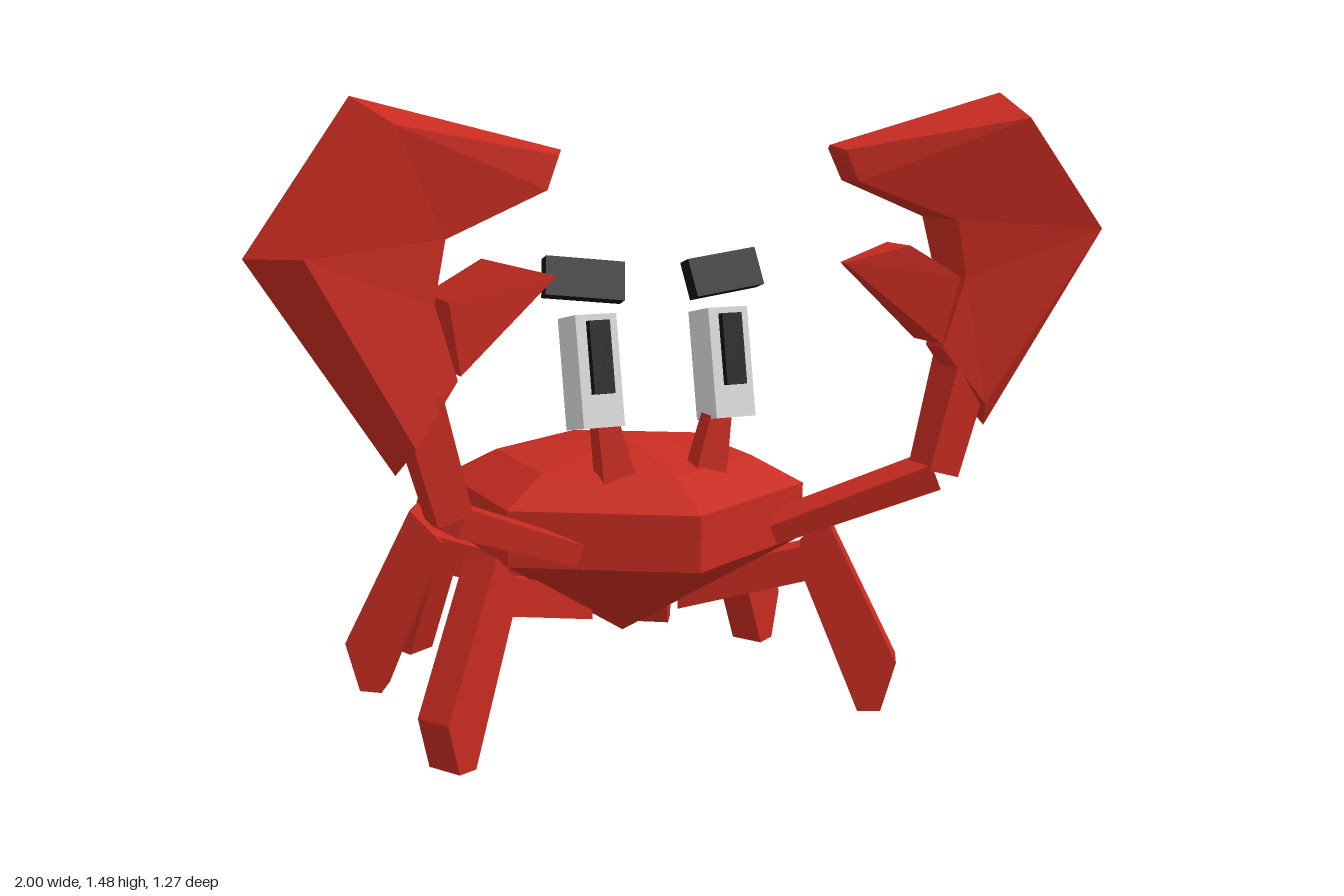
import * as THREE from 'three';
import { ConvexGeometry } from 'three/addons/geometries/ConvexGeometry.js';

const makeMaterial = (name, color) => {
  const m = new THREE.MeshStandardMaterial({ color });
  m.name = name;
  return m;
};

// Gives every face its own normal for the faceted look
function faceted(geometry) {
  const g = geometry.index ? geometry.toNonIndexed() : geometry;
  g.computeVertexNormals();
  return g;
}

// Skins a closed, capped solid over rings of equal point count
function loft(rings) {
  const n = rings[0].length, last = rings.length - 1;
  const tris = [];
  for (let s = 0; s < last; s++) {
    for (let i = 0; i < n; i++) {
      const j = (i + 1) % n;
      const a = rings[s][i], b = rings[s][j], c = rings[s + 1][j], d = rings[s + 1][i];
      tris.push([a, b, c], [a, c, d]);
    }
  }
  for (let i = 1; i < n - 1; i++) {
    tris.push([rings[0][0], rings[0][i + 1], rings[0][i]]);
    tris.push([rings[last][0], rings[last][i], rings[last][i + 1]]);
  }
  // Signed volume tells whether the corners run the right way round
  const v = (p) => new THREE.Vector3(...p);
  const volume = tris.reduce((sum, [a, b, c]) => sum + v(a).dot(v(b).cross(v(c))), 0);
  if (volume < 0) tris.forEach((t) => t.reverse());
  const g = new THREE.BufferGeometry();
  g.setAttribute('position', new THREE.Float32BufferAttribute(tris.flat(2), 3));
  return faceted(g);
}

const hull = (points) => faceted(new ConvexGeometry(points.map((p) => new THREE.Vector3(...p))));

// Rectangular bar between two points, each end with its own width and depth
function bar(from, to, sizeA, sizeB) {
  const a = new THREE.Vector3(...from), b = new THREE.Vector3(...to);
  const dir = b.clone().sub(a).normalize();
  const depth = new THREE.Vector3(0, 0, 1).addScaledVector(dir, -dir.z).normalize();
  const wide = new THREE.Vector3().crossVectors(dir, depth);
  const ring = (p, [w, d]) => [[1, 1], [-1, 1], [-1, -1], [1, -1]].map(([i, k]) =>
    p.clone().addScaledVector(wide, i * w / 2).addScaledVector(depth, k * d / 2).toArray());
  return loft([ring(a, sizeA), ring(b, sizeB)]);
}

// Slab standing in a vertical plane through the centre; profile holds [radius, y]
function radialSlab(profile, angle, width) {
  const c = Math.cos(angle), s = Math.sin(angle);
  return hull(profile.flatMap(([r, y]) =>
    [-width / 2, width / 2].map((w) => [r * c - w * s, y, r * s + w * c])));
}

export function createModel() {
  const red = makeMaterial('shell red', 0xc62b20);
  const white = makeMaterial('eye white', 0xd8d8d8);
  const black = makeMaterial('black', 0x111111);

  const model = new THREE.Group();
  model.name = 'crab';
  const add = (name, geometry, material, parent = model) => {
    const mesh = new THREE.Mesh(geometry, material);
    mesh.name = name;
    parent.add(mesh);
    return mesh;
  };

  // Six-sided shell with a shallow dome and a pointed belly
  const profile = [[0, 0.18], [0.435, 0.43], [0.435, 0.56], [0.31, 0.625], [0, 0.672]];
  const shell = new THREE.LatheGeometry(profile.map(([x, y]) => new THREE.Vector2(x, y)), 6);
  add('body', faceted(shell), red).position.z = 0.027;

  // Legs: thigh and shin profiles for the side pairs and the rear pair
  const sideLeg = {
    thigh: [[0.15, 0.33], [0.15, 0.24], [0.46, 0.32], [0.47, 0.41]],
    shin: [[0.51, 0.47], [0.68, 0.125], [0.645, 0.003], [0.59, 0], [0.43, 0.39]],
  };
  const rearLeg = {
    thigh: [[0.22, 0.33], [0.22, 0.24], [0.53, 0.33], [0.54, 0.41]],
    shin: [[0.59, 0.47], [0.72, 0.13], [0.69, 0.01], [0.64, 0.003], [0.5, 0.385]],
  };
  const legs = [['front', sideLeg, 30], ['middle', sideLeg, -30], ['rear', rearLeg, -58]];

  for (const [side, k] of [['left', 1], ['right', -1]]) {
    const mirror = (points) => points.map(([x, y, z]) => [x * k, y, z]);

    for (const [place, leg, degrees] of legs) {
      const group = new THREE.Group();
      group.name = `${side} ${place} leg`;
      const angle = THREE.MathUtils.degToRad(k > 0 ? degrees : 180 - degrees);
      add('thigh', radialSlab(leg.thigh, angle, 0.07), red, group);
      add('shin', radialSlab(leg.shin, angle, 0.09), red, group);
      model.add(group);
    }

    // Claw arm: upper arm, forearm, hooked pincer and small finger
    const arm = new THREE.Group();
    arm.name = `${side} claw arm`;
    model.add(arm);
    const [shoulder, elbow, wrist] = mirror([[0.26, 0.475, 0.31], [0.59, 0.618, 0.48], [0.66, 0.87, 0.48]]);
    add('upper arm', bar(shoulder, elbow, [0.05, 0.09], [0.065, 0.09]), red, arm);
    add('forearm', bar(elbow, wrist, [0.08, 0.09], [0.09, 0.11]), red, arm);

    // Each ring runs outer, front, inner front, inner back, back
    const pincer = [
      [[0.71, 0.72, 0.5], [0.68, 0.78, 0.55], [0.58, 0.91, 0.52], [0.58, 0.91, 0.45], [0.68, 0.79, 0.43]],
      [[1, 1.17, 0.465], [0.92, 1.18, 0.635], [0.63, 1.07, 0.53], [0.63, 1.07, 0.4], [0.9, 1.15, 0.3]],
      [[0.77, 1.483, 0.435], [0.73, 1.43, 0.615], [0.605, 1.2, 0.53], [0.605, 1.2, 0.38], [0.73, 1.4, 0.275]],
      [[0.32, 1.37, 0.44], [0.34, 1.36, 0.48], [0.37, 1.29, 0.49], [0.37, 1.29, 0.41], [0.34, 1.36, 0.4]],
    ];
    add('pincer', loft(pincer.map(mirror)), red, arm);

    const finger = [[0.575, 0.92, 0.06], [0.605, 1.075, 0.08], [0.49, 1.147, 0.05], [0.345, 1.11, 0.01]];
    add('finger', hull(mirror(finger.flatMap(([x, y, d]) =>
      [[x, y, 0.465 - d], [x, y, 0.465 + d]]))), red, arm);

    // Eye on a stalk, tipped back, with a raised pupil
    add(`${side} eye stalk`, bar([0.115 * k, 0.61, 0.25], [0.145 * k, 0.76, 0.25],
      [0.08, 0.06], [0.05, 0.05]), red);
    const eye = new THREE.Group();
    eye.name = `${side} eye`;
    eye.position.set(0.165 * k, 0.86, 0.228);
    eye.rotation.x = -0.2;
    add('eye block', new THREE.BoxGeometry(0.1, 0.255, 0.107), white, eye);
    add('pupil', new THREE.BoxGeometry(0.05, 0.165, 0.03), black, eye).position.set(0, 0.03, 0.058);
    model.add(eye);

    // Floating brow, higher at its outer end
    const brow = add(`${side} brow`, new THREE.BoxGeometry(0.185, 0.09, 0.038), black);
    brow.position.set(0.175 * k, 1.068, 0.207);
    brow.rotation.set(-0.33, 0.08 * k, 0.14 * k);
  }

  return model;
}
